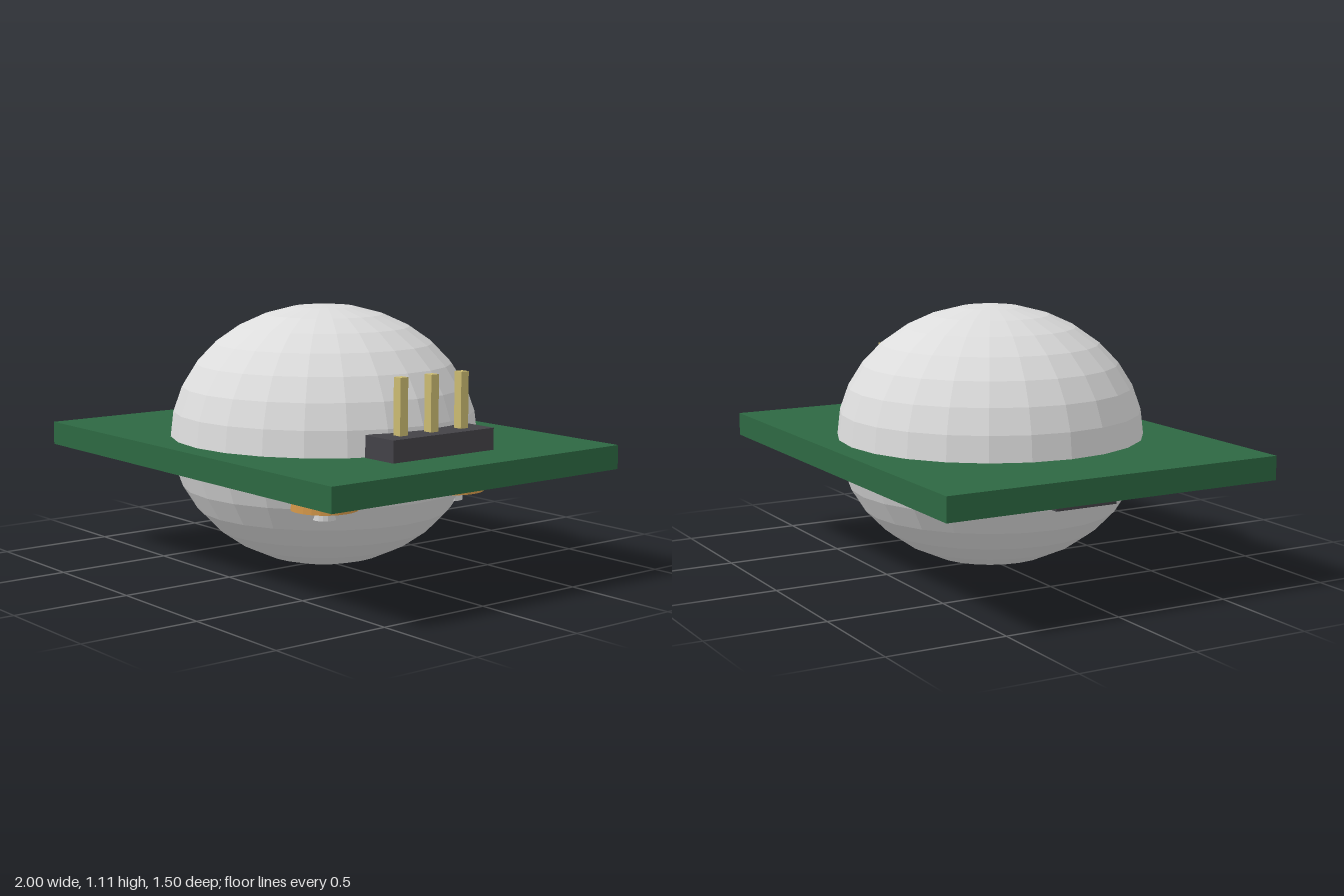
import * as THREE from 'three';

export function createModel() {
  const group = new THREE.Group();
  const material = (name, color, flatShading = false) => {
    const m = new THREE.MeshStandardMaterial({ color, flatShading });
    m.name = name;
    return m;
  };
  const green = material('boardGreen', 0x2d6842);
  const grey = material('lensGrey', 0xdcdcdc, true);
  const black = material('plasticBlack', 0x434247);
  const gold = material('pinGold', 0xcbbb72);
  const orange = material('dialOrange', 0xd6994a, true);

  const add = (name, geometry, mat, x, y, z) => {
    const mesh = new THREE.Mesh(geometry, mat);
    mesh.name = name;
    mesh.position.set(x, y, z);
    group.add(mesh);
    return mesh;
  };

  // Circuit board
  add('board', new THREE.BoxGeometry(2, 0.1, 1.5), green, 0, 0.51, 0);

  // Faceted, slightly flattened lens passing through the board
  const lens = new THREE.SphereGeometry(1, 24, 16);
  lens.scale(0.655, 0.557, 0.655);
  add('lens', lens, grey, 0, 0.558, 0);

  // Pin header on top of the board
  add('header', new THREE.BoxGeometry(0.17, 0.09, 0.53), black, 0.685, 0.605, 0);
  for (const z of [-0.16, 0, 0.16]) {
    add('pin', new THREE.BoxGeometry(0.04, 0.25, 0.04), gold, 0.69, 0.755, z);
  }

  // Small block on the underside
  add('lowerBlock', new THREE.BoxGeometry(0.17, 0.075, 0.28), black, -0.68, 0.4225, 0);

  // Pair of adjustment dials, partly sunk into the lens
  for (const side of [-1, 1]) {
    add('dial', new THREE.CylinderGeometry(0.14, 0.14, 0.105, 24), orange, 0.4375, 0.3925, side * 0.34);
    add('dialKnob', new THREE.CylinderGeometry(0.05, 0.05, 0.045, 16), grey, 0.4375, 0.3205, side * 0.34);
  }

  return group;
}
